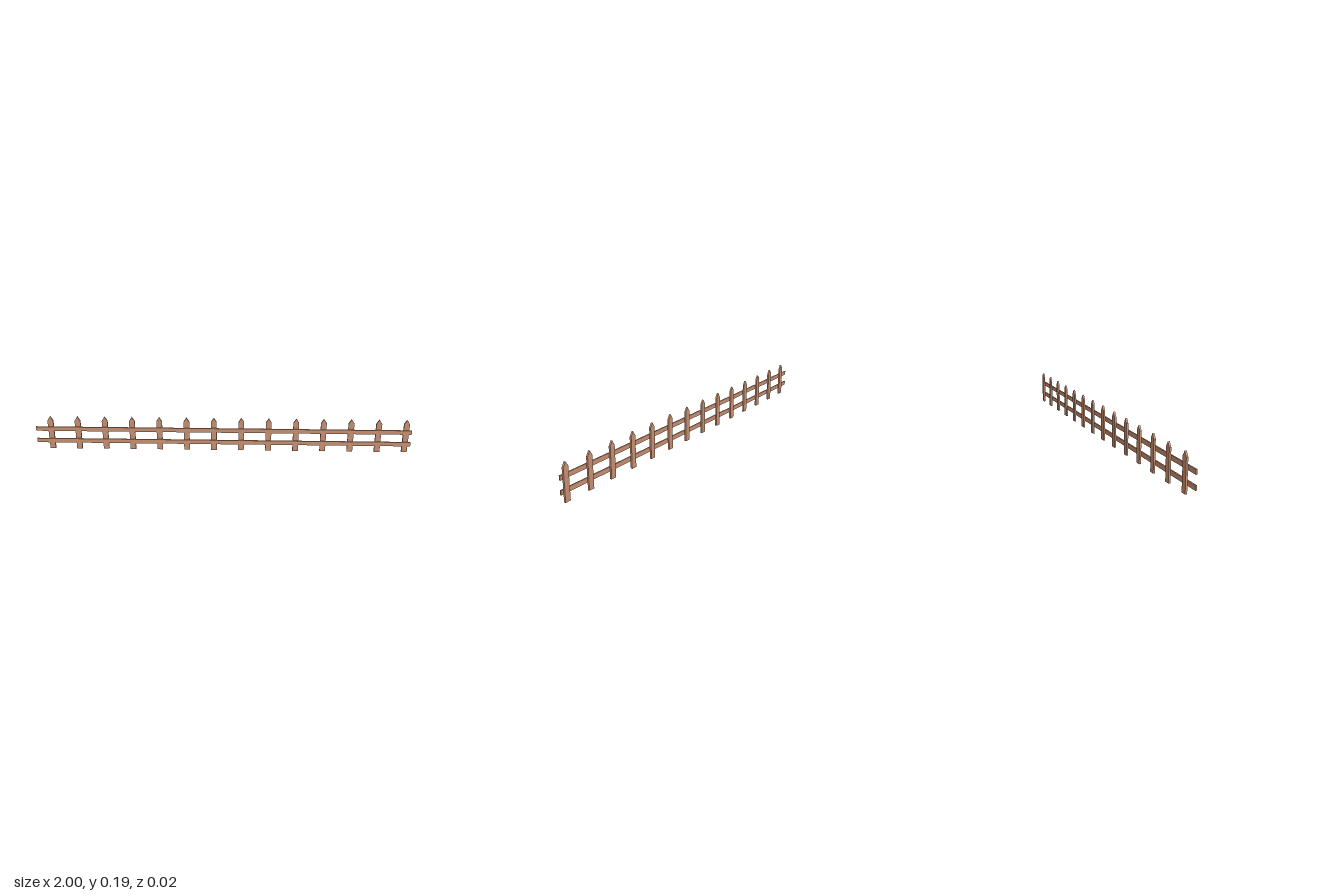
import * as THREE from 'three';

export function createModel() {
  const fence = new THREE.Group();
  fence.name = 'picketFence';
  const wood = new THREE.MeshStandardMaterial({ color: 0xc99172, flatShading: true });

  // Pointed pickets, standing behind the rails
  const outline = new THREE.Shape([
    new THREE.Vector2(-0.015, 0),
    new THREE.Vector2(0.015, 0),
    new THREE.Vector2(0.015, 0.162),
    new THREE.Vector2(0, 0.186),
    new THREE.Vector2(-0.015, 0.162),
  ]);
  const picketGeometry = new THREE.ExtrudeGeometry(outline, { depth: 0.0095, bevelEnabled: false });
  const count = 14;
  for (let i = 0; i < count; i++) {
    const picket = new THREE.Mesh(picketGeometry, wood);
    picket.name = `picket${i + 1}`;
    picket.position.set(-0.921 + (i * 1.893) / (count - 1), 0, -0.008);
    fence.add(picket);
  }

  // Two long rails across the front
  const railGeometry = new THREE.BoxGeometry(2, 0.023, 0.007);
  for (const [name, y] of [['lowerRail', 0.049], ['upperRail', 0.117]]) {
    const rail = new THREE.Mesh(railGeometry, wood);
    rail.name = name;
    rail.position.set(0, y, 0.0048);
    fence.add(rail);
  }
  return fence;
}
